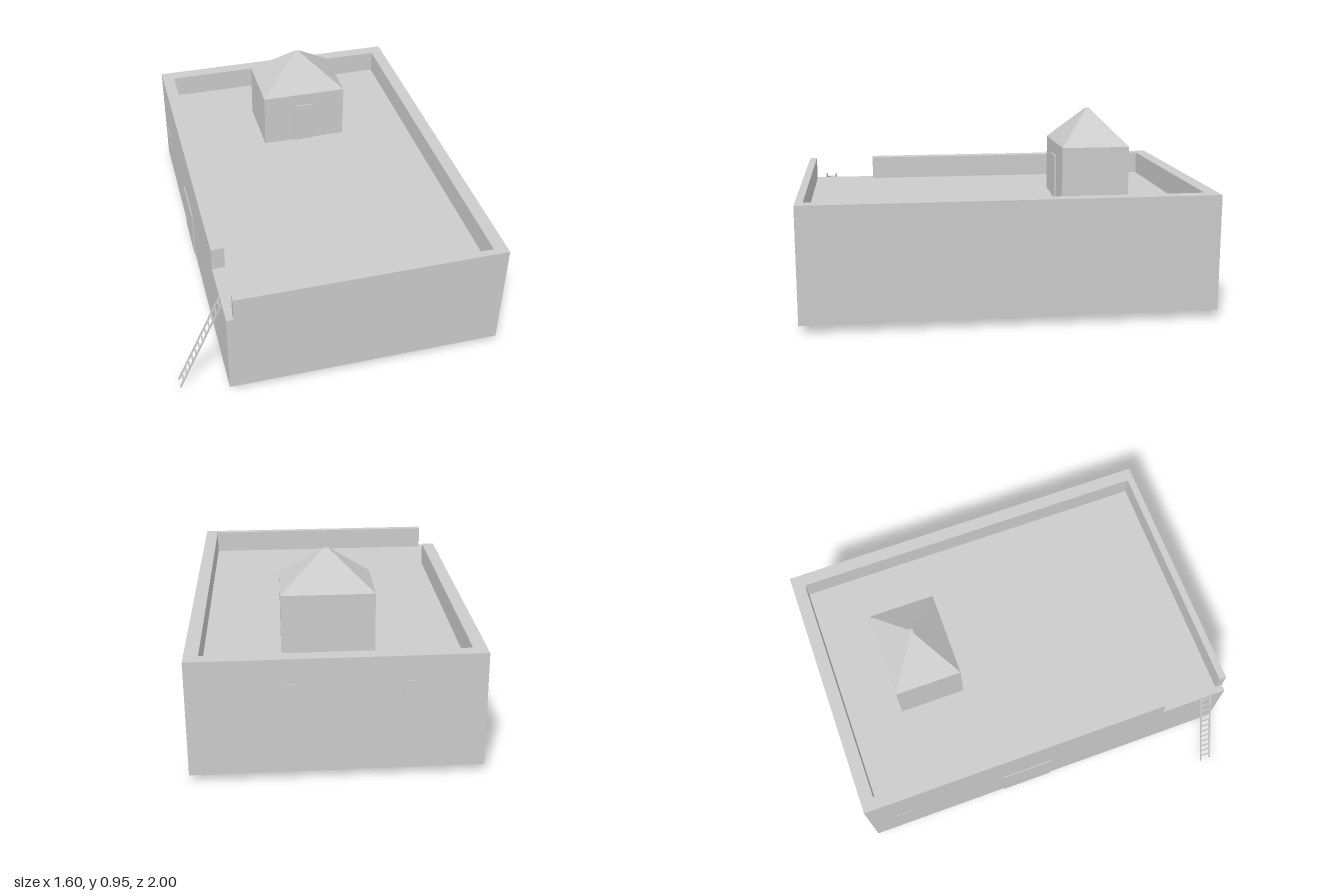
import * as THREE from 'three';

const material = new THREE.MeshStandardMaterial({ color: 0xcccccc, flatShading: true });

function add(parent, name, geometry) {
  const mesh = new THREE.Mesh(geometry, material);
  mesh.name = name;
  parent.add(mesh);
  return mesh;
}

// Box given by its minimum and maximum corners
function addBox(parent, name, [x0, y0, z0], [x1, y1, z1]) {
  const mesh = add(parent, name, new THREE.BoxGeometry(x1 - x0, y1 - y0, z1 - z0));
  mesh.position.set((x0 + x1) / 2, (y0 + y1) / 2, (z0 + z1) / 2);
  return mesh;
}

// Hipped roof: a box whose top is pinched to a tiny flat cap
function hippedRoof(width, height, depth, capWidth, capDepth) {
  const geometry = new THREE.BoxGeometry(width, height, depth).toNonIndexed();
  const p = geometry.attributes.position;
  for (let i = 0; i < p.count; i++) {
    if (p.getY(i) > 0) {
      p.setX(i, Math.sign(p.getX(i)) * capWidth / 2);
      p.setZ(i, Math.sign(p.getZ(i)) * capDepth / 2);
    }
  }
  geometry.computeVertexNormals();
  return geometry;
}

function createLadder() {
  const ladder = new THREE.Group();
  ladder.name = 'ladder';
  const foot = new THREE.Vector2(-0.797, 0.002);
  const head = new THREE.Vector2(-0.573, 0.508);
  const span = head.clone().sub(foot);
  const length = span.length();
  const zRails = [0.855, 0.907];

  for (const z of zRails) {
    add(ladder, 'ladderRail', new THREE.BoxGeometry(0.007, length, 0.007)).position.set(0, length / 2, z);
  }
  const rungs = 12;
  for (let i = 0; i < rungs; i++) {
    const rung = add(ladder, 'ladderRung', new THREE.BoxGeometry(0.006, 0.006, zRails[1] - zRails[0]));
    rung.position.set(0, length * (i + 1) / (rungs + 0.5), (zRails[0] + zRails[1]) / 2);
  }
  ladder.position.set(foot.x, foot.y, 0);
  ladder.rotation.z = -Math.atan2(span.x, span.y);
  return ladder;
}

export function createModel() {
  const model = new THREE.Group();
  model.name = 'flatRoofedHouse';
  const base = 0.04, terrace = 0.485, top = 0.605;

  // Main block, up to the terrace floor
  addBox(model, 'mainBlock', [-0.57, base, -0.997], [0.797, terrace, 0.997]);

  // Parapet around the terrace, open at the ladder corner
  const outline = [
    [-0.57, 0.64], [-0.57, -0.997], [0.797, -0.997], [0.797, 0.997], [-0.535, 0.997],
    [-0.535, 0.96], [0.73, 0.96], [0.73, -0.93], [-0.505, -0.93], [-0.505, 0.64],
  ].map(([x, z]) => new THREE.Vector2(x, -z));
  const parapet = new THREE.ExtrudeGeometry(new THREE.Shape(outline), { depth: top - terrace, bevelEnabled: false });
  parapet.rotateX(-Math.PI / 2);
  add(model, 'parapet', parapet).position.y = terrace;

  // Rooftop hut with its door and hipped roof
  const hut = new THREE.Group();
  hut.name = 'rooftopHut';
  model.add(hut);
  addBox(hut, 'hutWalls', [-0.09, terrace, -0.655], [0.36, 0.775, -0.312]);
  addBox(hut, 'hutDoor', [0.077, terrace, -0.32], [0.188, 0.708, -0.304]);
  add(hut, 'hutRoof', hippedRoof(0.45, 0.175, 0.343, 0.03, 0.02)).position.set(0.135, 0.8625, -0.4835);

  // Thin door and window panels on the outer walls
  addBox(model, 'sideDoor', [-0.575, base, -0.26], [-0.56, 0.31, 0.015]);
  addBox(model, 'sideWindow', [-0.573, 0.215, -0.865], [-0.56, 0.3, -0.775]);
  for (const x of [-0.235, 0.33]) {
    addBox(model, 'backWindow', [x - 0.047, 0.39, -1], [x + 0.047, 0.482, -0.98]);
  }

  model.add(createLadder());
  return model;
}
